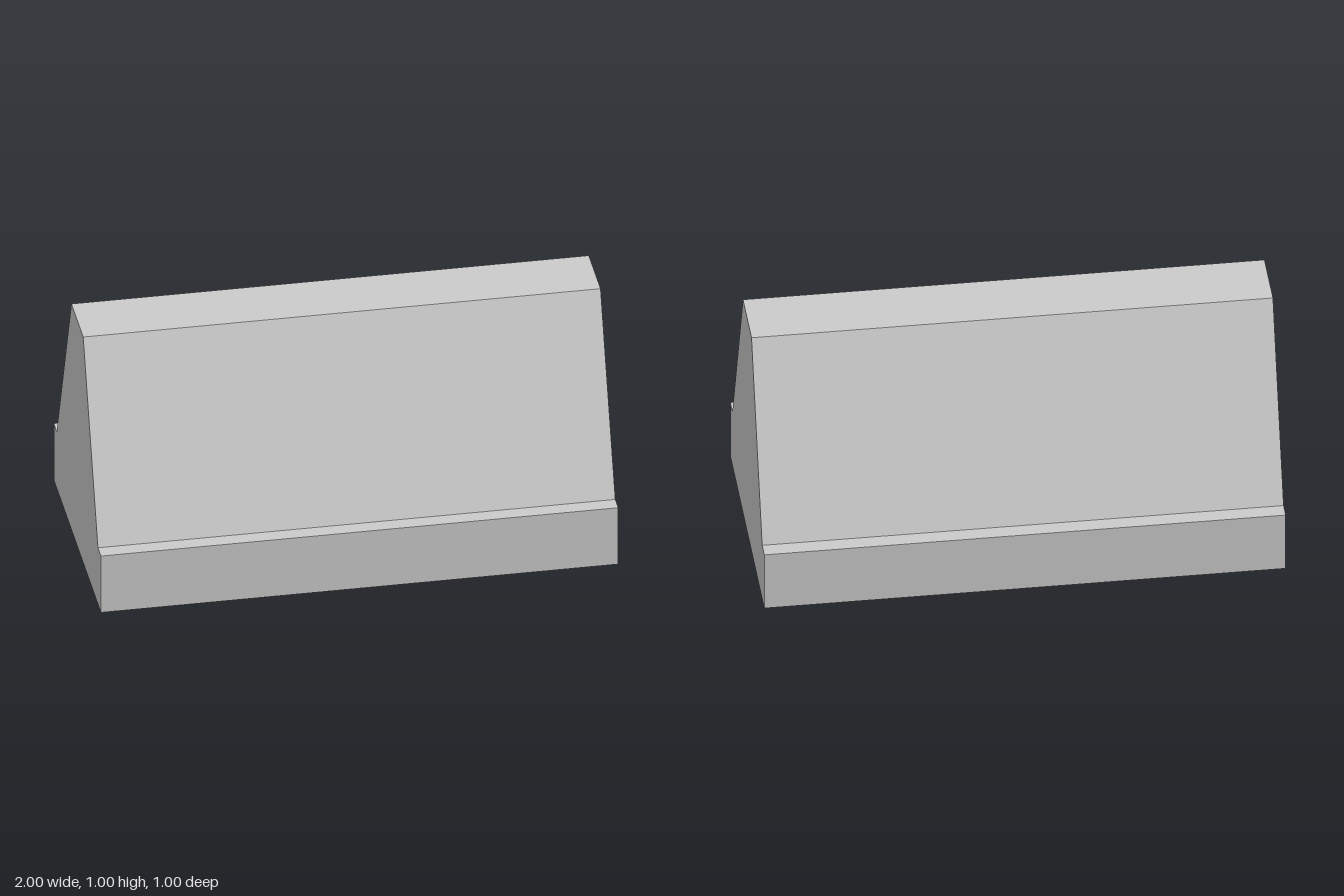
import * as THREE from 'three';

const LENGTH = 2;
const BASE_HEIGHT = 0.25;

export function createModel() {
  const group = new THREE.Group();
  group.name = 'roadBarrier';
  const material = new THREE.MeshStandardMaterial({ color: 0xcccccc, flatShading: true });

  // Rectangular foot
  const base = new THREE.Mesh(new THREE.BoxGeometry(LENGTH, BASE_HEIGHT, 1), material);
  base.name = 'base';
  base.position.y = BASE_HEIGHT / 2;
  group.add(base);

  // Tapered wall: trapezoid section swept along x
  const section = new THREE.Shape([
    new THREE.Vector2(-0.4375, BASE_HEIGHT),
    new THREE.Vector2(0.4375, BASE_HEIGHT),
    new THREE.Vector2(0.125, 1),
    new THREE.Vector2(-0.125, 1),
  ]);
  const wallGeometry = new THREE.ExtrudeGeometry(section, { depth: LENGTH, bevelEnabled: false });
  wallGeometry.translate(0, 0, -LENGTH / 2).rotateY(Math.PI / 2);
  const wall = new THREE.Mesh(wallGeometry, material);
  wall.name = 'taperedWall';
  group.add(wall);

  return group;
}
